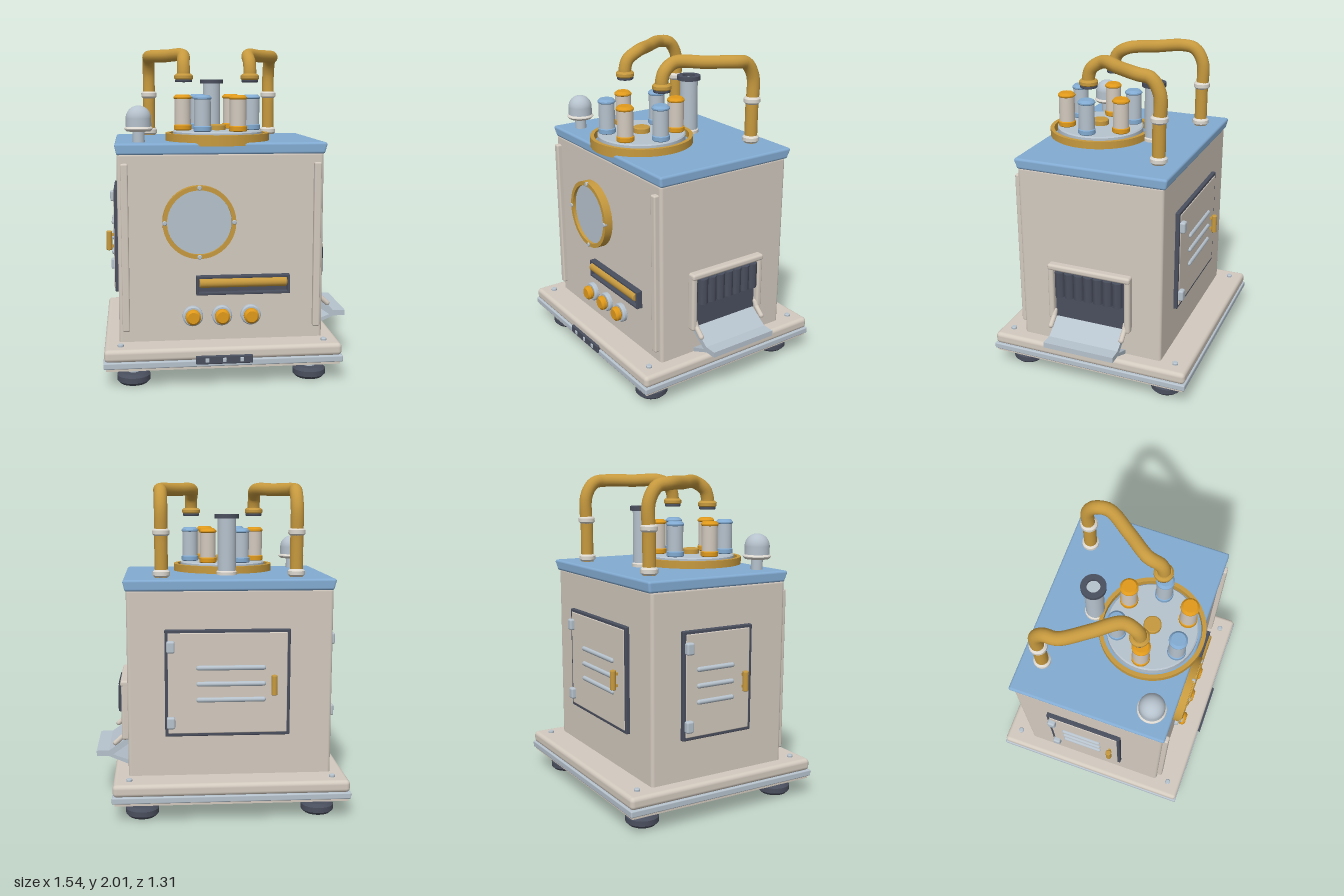
import * as THREE from 'three';
import { RoundedBoxGeometry } from 'three/addons/geometries/RoundedBoxGeometry.js';

const mat = (name, color, side = THREE.FrontSide) => {
  const m = new THREE.MeshStandardMaterial({ color, side });
  m.name = name;
  return m;
};

export function createModel() {
  const beige = mat('warm beige', 0xd3cabf);
  const blue = mat('roof blue', 0x82abd2);
  const pale = mat('pale steel', 0xb6c2cd);
  const gold = mat('brass', 0xc6993e, THREE.DoubleSide);
  const amber = mat('amber', 0xe09a1c);
  const dark = mat('dark slate', 0x4a4f5e);
  const cream = mat('cream', 0xdcd8d0);

  const model = new THREE.Group();
  model.name = 'machine';
  const add = (parent, name, geo, material, x = 0, y = 0, z = 0) => {
    const m = new THREE.Mesh(geo, material);
    m.name = name;
    m.position.set(x, y, z);
    parent.add(m);
    return m;
  };
  const group = (name, x = 0, y = 0, z = 0) => {
    const g = new THREE.Group();
    g.name = name;
    g.position.set(x, y, z);
    model.add(g);
    return g;
  };
  const rbox = (w, h, d, r = 0.01) => new RoundedBoxGeometry(w, h, d, 3, r);
  // turned part with softened rims, running from y0 up to y1
  const turned = (r, y0, y1, b = 0.008, seg = 28) => new THREE.LatheGeometry([
    [0, y0], [r - b, y0], [r - b, y0], [r, y0 + b], [r, y0 + b],
    [r, y1 - b], [r, y1 - b], [r - b, y1], [r - b, y1], [0, y1],
  ].map(([x, y]) => new THREE.Vector2(x, y)), seg);
  // hollow ring of rectangular section
  const hollow = (ro, ri, y0, y1, seg = 48) => new THREE.LatheGeometry([
    [ri, y0], [ro, y0], [ro, y0], [ro, y1], [ro, y1], [ri, y1], [ri, y1], [ri, y0],
  ].map(([x, y]) => new THREE.Vector2(x, y)), seg);

  const CX = -0.057;

  // Base with bolts and feet
  add(model, 'baseSlab', rbox(1.42, 0.075, 1.285, 0.025), beige, CX, 0.2025, -0.013);
  add(model, 'baseBand', rbox(1.43, 0.04, 1.295, 0.008), pale, CX, 0.148, -0.013);
  add(model, 'basePan', new THREE.BoxGeometry(1.4, 0.02, 1.265), beige, CX, 0.122, -0.013);
  for (const sx of [-1, 1]) for (const sz of [-1, 1]) {
    add(model, 'baseBolt', turned(0.018, 0.235, 0.256, 0.005, 12), pale, CX + sx * 0.613, 0, -0.012 + sz * 0.555);
    const foot = group('foot', CX + sx * 0.538, 0, -0.007 + sz * 0.485);
    add(foot, 'footPad', turned(0.1, 0, 0.068, 0.018), dark);
    add(foot, 'footStem', turned(0.038, 0.06, 0.118, 0.004), pale);
  }
  add(model, 'basePlate', rbox(0.34, 0.05, 0.03, 0.006), dark, -0.06, 0.17, 0.63);
  for (const i of [-1, 0, 1]) add(model, 'plateStud', rbox(0.022, 0.026, 0.012, 0.004), pale, -0.06 + i * 0.103, 0.17, 0.645);

  // Body, roof and front trims
  add(model, 'body', rbox(1.24, 1.16, 0.93, 0.02), beige, -0.058, 0.8, -0.008);
  const roof = rbox(1.27, 0.07, 0.967, 0.015);
  const p = roof.attributes.position;
  for (let i = 0; i < p.count; i++) if (p.getY(i) < -0.01) {
    p.setX(i, p.getX(i) * 0.985);
    p.setZ(i, p.getZ(i) * 0.98);
  }
  add(model, 'roof', roof, blue, -0.055, 1.403, -0.013);
  for (const x of [-0.635, 0.521]) add(model, 'frontTrim', rbox(0.044, 1.01, 0.06, 0.01), beige, x, 0.815, 0.458);

  // Round window
  const port = group('roundWindow', -0.195, 0.97, 0.455);
  port.rotation.x = Math.PI / 2;
  add(port, 'windowRim', hollow(0.219, 0.193, 0, 0.055, 40), gold);
  add(port, 'windowPane', turned(0.196, 0, 0.035, 0.003, 40), pale);
  for (let i = 0; i < 4; i++) {
    const a = i * Math.PI / 2;
    add(port, 'windowBolt', turned(0.014, 0.04, 0.063, 0.004, 12), pale, 0.207 * Math.cos(a), 0, 0.207 * Math.sin(a));
  }

  // Slot with brass roller
  const slot = group('slot', 0.07, 0.583, 0.455);
  add(slot, 'slotBack', new THREE.BoxGeometry(0.57, 0.115, 0.012), dark, 0, 0, 0.004);
  for (const s of [-1, 1]) {
    add(slot, 'slotRail', rbox(0.57, 0.016, 0.045, 0.004), dark, 0, s * 0.05, 0.018);
    add(slot, 'slotEnd', rbox(0.016, 0.115, 0.045, 0.004), dark, s * 0.277, 0, 0.018);
  }
  const roller = add(slot, 'roller', turned(0.029, -0.265, 0.265, 0.005, 20), gold, 0, 0.016, 0.03);
  roller.rotation.z = Math.PI / 2;

  // Knobs
  for (const x of [-0.235, -0.058, 0.118]) {
    const knob = group('knob', x, 0.393, 0.45);
    knob.rotation.x = Math.PI / 2;
    add(knob, 'knobCollar', turned(0.062, 0, 0.035), pale);
    add(knob, 'knobCap', turned(0.046, 0.03, 0.075, 0.012), amber);
  }

  // Service doors on the back and the side
  const door = (name, w, ventX, ventL, handleX) => {
    const d = group(name);
    add(d, 'doorFrame', rbox(w, 0.65, 0.05, 0.006), dark, 0, 0.815, 0);
    add(d, 'doorPanel', rbox(w - 0.036, 0.614, 0.05, 0.006), beige, 0, 0.815, 0.004);
    for (const y of [0.91, 0.812, 0.715]) {
      const vent = add(d, 'vent', new THREE.CapsuleGeometry(0.015, ventL - 0.03, 6, 12), pale, ventX, y, 0.029);
      vent.rotation.z = Math.PI / 2;
    }
    for (const y of [1.04, 0.578]) {
      add(d, 'hinge', rbox(0.05, 0.072, 0.04, 0.012), pale, 0.035 - w / 2, y, 0.037);
    }
    add(d, 'handle', turned(0.018, 0.745, 0.867, 0.004, 16), gold, handleX, 0, 0.058);
    for (const y of [0.77, 0.842]) add(d, 'handleMount', new THREE.BoxGeometry(0.016, 0.016, 0.04), gold, handleX, y, 0.038);
    return d;
  };
  const back = door('backDoor', 0.755, 0.02, 0.42, 0.277);
  back.position.set(-0.04, 0, -0.473);
  back.rotation.y = Math.PI;
  const side = door('sideDoor', 0.48, -0.02, 0.26, 0.175);
  side.position.set(-0.678, 0, -0.04);
  side.rotation.y = -Math.PI / 2;

  // Delivery hatch: frame, curtain strips, chute
  const hatch = group('hatch', 0, 0, -0.013);
  const v = (x, y, z) => new THREE.Vector3(x, y, z);
  const bar = (name, pts, r, material, parent) => {
    const path = new THREE.CurvePath();
    for (let i = 1; i < pts.length; i++) path.add(new THREE.LineCurve3(pts[i - 1], pts[i]));
    add(parent, name, new THREE.TubeGeometry(path, 60, r, 12), material);
    for (const q of [pts[0], pts[pts.length - 1]]) add(parent, name + 'End', new THREE.SphereGeometry(r, 12, 8), material, q.x, q.y, q.z);
  };
  add(hatch, 'hatchBack', new THREE.BoxGeometry(0.02, 0.36, 0.47), dark, 0.561, 0.585, 0);
  add(hatch, 'hatchTop', rbox(0.06, 0.04, 0.545, 0.015), beige, 0.583, 0.77, 0);
  for (const s of [-1, 1]) {
    add(hatch, 'hatchPost', rbox(0.055, 0.38, 0.038, 0.015), beige, 0.58, 0.6, s * 0.253);
    bar('hatchArm', [v(0.585, 0.46, s * 0.237), v(0.6, 0.43, s * 0.237), v(0.65, 0.385, s * 0.237)], 0.016, beige, hatch);
  }
  for (let i = -3; i <= 3; i++) {
    add(hatch, 'curtainStrip', new THREE.CylinderGeometry(0.033, 0.033, 0.165, 8), dark, 0.595, 0.665, i * 0.0635);
  }
  const sheet = (name, pts, w, material) => {
    const geo = new THREE.ExtrudeGeometry(new THREE.Shape(pts.map(([x, y]) => new THREE.Vector2(x, y))), { depth: w, bevelEnabled: false });
    add(hatch, name, geo, material, 0, 0, -w / 2);
  };
  sheet('chute', [[0.555, 0.385], [0.68, 0.298], [0.77, 0.298], [0.77, 0.333], [0.692, 0.333], [0.555, 0.428]], 0.46, pale);
  sheet('chuteBrace', [[0.555, 0.243], [0.57, 0.243], [0.7, 0.3], [0.68, 0.312], [0.555, 0.265]], 0.46, pale);

  // Carousel with six canisters
  const carousel = group('carousel', CX, 0, 0.18);
  add(carousel, 'carouselRim', hollow(0.322, 0.297, 1.42, 1.484), gold);
  add(carousel, 'carouselDisc', turned(0.276, 1.43, 1.5, 0.008, 48), pale);
  add(carousel, 'carouselHub', turned(0.053, 1.49, 1.535, 0.006), gold);
  for (let i = 0; i < 6; i++) {
    const a = i * Math.PI / 3, x = 0.214 * Math.cos(a), z = 0.214 * Math.sin(a);
    const isBlue = i === 0 || i === 2 || i === 4 ? x > 0.2 || x < 0 : false;
    const useBlue = i === 0 || ((i === 2 || i === 4) && isBlue);
    const can = new THREE.Group();
    can.name = 'canister';
    can.position.set(x, 0, z);
    carousel.add(can);
    const cap = useBlue ? blue : amber;
    add(can, 'canisterBody', turned(0.05, 1.5, 1.7, 0.004), useBlue ? pale : beige);
    add(can, 'canisterFoot', turned(0.055, 1.495, 1.54, 0.01), cap);
    add(can, 'canisterCap', turned(0.055, 1.682, 1.718, 0.014), cap);
  }

  // Chimney
  const chimney = group('chimney', CX, 0, -0.182);
  add(chimney, 'chimneyPipe', turned(0.057, 1.43, 1.795, 0.003), pale);
  add(chimney, 'chimneyFoot', turned(0.064, 1.43, 1.465), cream);
  add(chimney, 'chimneyLip', hollow(0.075, 0.04, 1.785, 1.812, 28), dark);

  // Beacon
  const beacon = group('beacon', -0.545, 0, 0.343);
  add(beacon, 'beaconPost', turned(0.036, 1.43, 1.52, 0.003), pale);
  add(beacon, 'beaconFlange', turned(0.086, 1.503, 1.535, 0.014), cream);
  add(beacon, 'beaconDome', new THREE.SphereGeometry(0.076, 28, 12, 0, Math.PI * 2, 0, Math.PI / 2), pale, 0, 1.58, 0);
  add(beacon, 'beaconDrum', turned(0.076, 1.52, 1.581, 0.001), pale);

  // Two mirrored filler pipes
  for (const s of [-1, 1]) {
    const pipe = group('fillerPipe', CX, 0, 0);
    const xo = s * 0.408, xi = s * 0.206;
    const path = new THREE.CatmullRomCurve3([
      v(xo, 1.44, -0.365), v(xo, 1.65, -0.365), v(xo, 1.86, -0.365), v(xo, 1.945, -0.31), v(xo, 1.96, -0.23),
      v(s * 0.307, 1.96, -0.075), v(xi, 1.96, 0.07), v(xi, 1.915, 0.145), v(xi, 1.86, 0.166), v(xi, 1.8, 0.166),
    ], false, 'centripetal');
    add(pipe, 'pipeTube', new THREE.TubeGeometry(path, 56, 0.04, 16), gold);
    for (const y of [1.465, 1.71]) add(pipe, 'pipeCollar', turned(0.052, y - 0.023, y + 0.023, 0.012), cream, xo, 0, -0.365);
    add(pipe, 'nozzle', turned(0.058, 1.803, 1.845, 0.012), gold, xi, 0, 0.166);
    add(pipe, 'nozzleTip', turned(0.052, 1.793, 1.81, 0.003), dark, xi, 0, 0.166);
  }
  return model;
}
